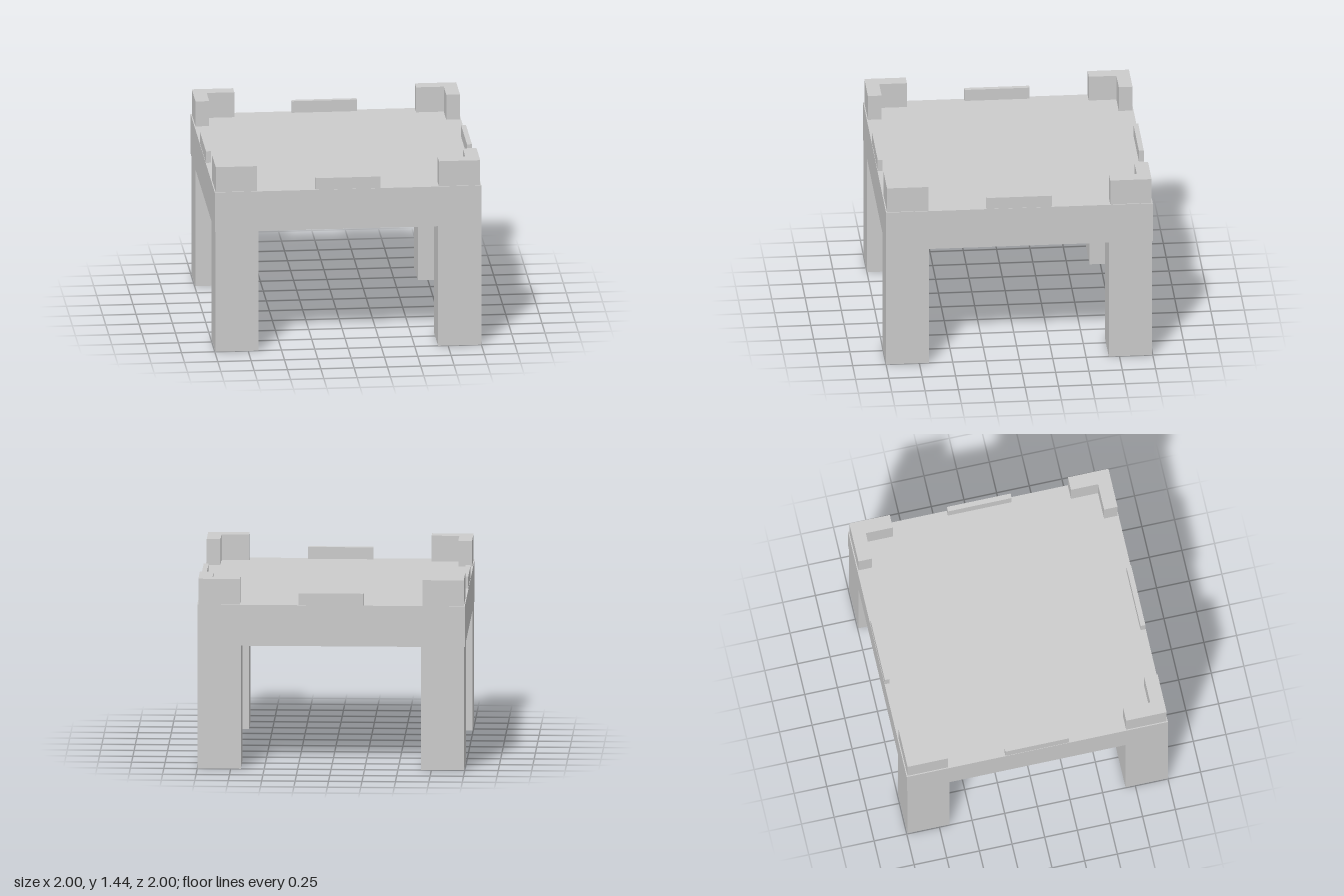
import * as THREE from 'three';

const SLAB_BOTTOM = 0.935, SLAB_TOP = 1.245;

export function createModel() {
  const model = new THREE.Group();
  model.name = 'table';
  const material = new THREE.MeshStandardMaterial({ color: 0xcccccc, flatShading: true });

  function add(name, geometry, x, y, z) {
    const mesh = new THREE.Mesh(geometry, material);
    mesh.name = name;
    mesh.position.set(x, y, z);
    model.add(mesh);
    return mesh;
  }

  // Thick square top
  add('tableTop', new THREE.BoxGeometry(2, SLAB_TOP - SLAB_BOTTOM, 2), 0, (SLAB_TOP + SLAB_BOTTOM) / 2, 0);

  // L-shaped corner post: outer corner at the origin, arms along +x and +y of the shape
  const arm = 0.31, thick = 0.103, postHeight = 0.195;
  const outline = [[0, 0], [arm, 0], [arm, thick], [thick, thick], [thick, arm], [0, arm]];
  const postGeometry = new THREE.ExtrudeGeometry(
    new THREE.Shape(outline.map(([x, y]) => new THREE.Vector2(x, y))),
    { depth: postHeight, bevelEnabled: false }
  );
  postGeometry.rotateX(-Math.PI / 2); // arms now run along +x and -z: the front right corner

  // Legs and corner posts, one of each per corner, turned in quarter steps
  const legGeometry = new THREE.BoxGeometry(0.324, SLAB_BOTTOM, 0.324);
  const corners = [['frontRight', -1, 1], ['frontLeft', 1, 1], ['backLeft', 1, -1], ['backRight', -1, -1]];
  corners.forEach(([corner, sx, sz], i) => {
    add(corner + 'Leg', legGeometry, sx * 0.835 + 0.002, SLAB_BOTTOM / 2, sz * 0.835 + 0.003);
    const post = add(corner + 'CornerPost', postGeometry, sx * 0.992, SLAB_TOP, sz * 0.992);
    post.rotation.y = i * Math.PI / 2;
  });

  // Low rail in the middle of each edge
  const railGeometry = new THREE.BoxGeometry(0.488, 0.09, 0.037);
  ['front', 'left', 'back', 'right'].forEach((side, i) => {
    const angle = i * Math.PI / 2;
    const rail = add(side + 'Rail', railGeometry, Math.sin(angle) * 0.979, SLAB_TOP + 0.045, Math.cos(angle) * 0.979);
    rail.rotation.y = angle;
  });

  return model;
}
